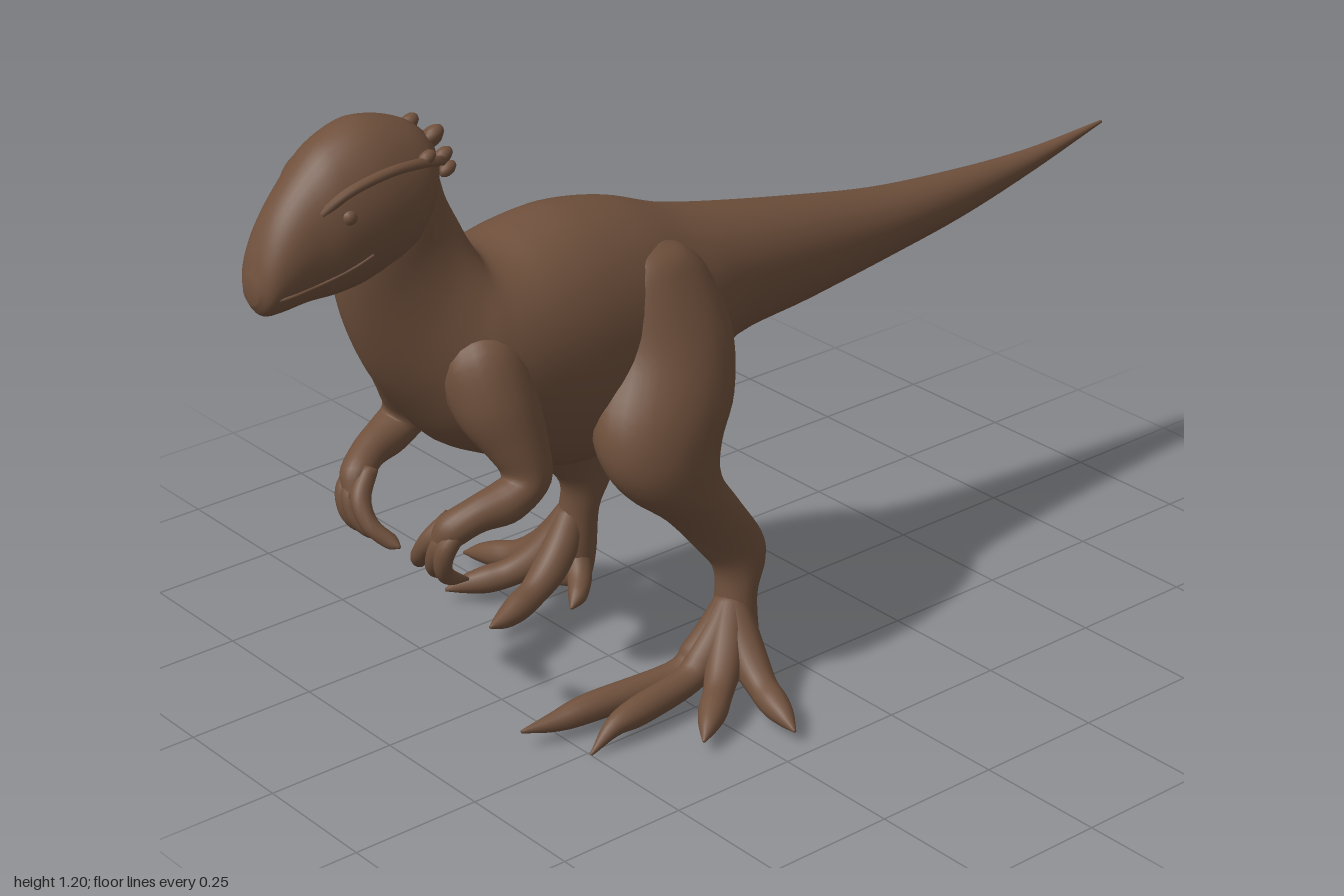
import * as THREE from 'three';

const V = (x, y, z) => new THREE.Vector3(x, y, z);

// Smooth closed skin over rings {c: centre, u: half width, v: half height}.
// egg > 0 makes the +v half wider than the -v half.
function loft(rings, { seg = 28, sub = 5, egg = 0 } = {}) {
  const curve = (k) => new THREE.CatmullRomCurve3(rings.map((r) => r[k]), false, 'catmullrom', 0.5);
  const [C, U, W] = [curve('c'), curve('u'), curve('v')];
  const n = (rings.length - 1) * sub;
  const pos = [], idx = [];
  for (let i = 0; i <= n; i++) {
    const c = C.getPoint(i / n), u = U.getPoint(i / n), v = W.getPoint(i / n);
    for (let j = 0; j < seg; j++) {
      const a = (j / seg) * Math.PI * 2, s = Math.sin(a);
      const p = c.clone().addScaledVector(u, Math.cos(a) * (1 + egg * s)).addScaledVector(v, s);
      pos.push(p.x, p.y, p.z);
      if (i < n) {
        const k = i * seg, j2 = (j + 1) % seg;
        idx.push(k + j, k + j2, k + seg + j, k + j2, k + seg + j2, k + seg + j);
      }
    }
  }
  // End caps
  for (const i of [0, n]) {
    const p = C.getPoint(i / n), m = pos.length / 3;
    pos.push(p.x, p.y, p.z);
    for (let j = 0; j < seg; j++) {
      const a = i * seg + j, b = i * seg + (j + 1) % seg;
      if (i) idx.push(m, a, b); else idx.push(m, b, a);
    }
  }
  // Turn the skin outward when its volume comes out negative
  let vol = 0;
  const at = (i) => V(pos[i * 3], pos[i * 3 + 1], pos[i * 3 + 2]);
  for (let i = 0; i < idx.length; i += 3) vol += at(idx[i]).dot(at(idx[i + 1]).cross(at(idx[i + 2])));
  if (vol < 0) idx.reverse();
  const g = new THREE.BufferGeometry();
  g.setAttribute('position', new THREE.Float32BufferAttribute(pos, 3));
  g.setIndex(idx);
  g.computeVertexNormals();
  return g;
}

// Rings in the middle plane from [topZ, topY, bottomZ, bottomY, halfWidth]
const profile = (rows) => rows.map(([zt, yt, zb, yb, w]) => ({
  c: V(0, (yt + yb) / 2, (zt + zb) / 2), u: V(w, 0, 0), v: V(0, (yt - yb) / 2, (zt - zb) / 2),
}));

// Round limb along points [x, y, z, radius]
function limb(rows, ref, opts) {
  const p = rows.map((r) => V(r[0], r[1], r[2]));
  return loft(rows.map((r, i) => {
    const t = p[Math.min(i + 1, p.length - 1)].clone().sub(p[Math.max(i - 1, 0)]).normalize();
    const u = t.clone().cross(ref).normalize();
    const v = u.clone().cross(t).normalize();
    return { c: p[i], u: u.multiplyScalar(r[3]), v: v.multiplyScalar(r[3]) };
  }), opts);
}

export function createModel() {
  const skin = new THREE.MeshStandardMaterial({ color: 0x6f503c });
  skin.name = 'brown skin';
  const model = new THREE.Group();
  model.name = 'dinosaur';
  const add = (name, geo) => {
    const m = new THREE.Mesh(geo, skin);
    m.name = name;
    m.position.x = 0.013;
    model.add(m);
    return m;
  };
  const X = V(1, 0, 0), Y = V(0, 1, 0);

  // Tail, trunk and neck
  add('body', loft(profile([
    [-1, 0.764, -1, 0.758, 0.003], [-0.8, 0.752, -0.8, 0.706, 0.022], [-0.6, 0.758, -0.6, 0.663, 0.043],
    [-0.4, 0.775, -0.4, 0.635, 0.065], [-0.2, 0.81, -0.2, 0.61, 0.088], [0, 0.85, 0, 0.59, 0.115],
    [0.12, 0.88, 0.1, 0.53, 0.145], [0.24, 0.925, 0.2, 0.485, 0.163], [0.36, 0.945, 0.32, 0.453, 0.174],
    [0.45, 0.937, 0.43, 0.47, 0.177], [0.52, 0.922, 0.54, 0.525, 0.17], [0.56, 0.927, 0.64, 0.58, 0.15],
    [0.578, 0.955, 0.71, 0.66, 0.12], [0.595, 0.995, 0.765, 0.74, 0.096], [0.615, 1.04, 0.805, 0.83, 0.083],
    [0.635, 1.1, 0.825, 0.91, 0.079], [0.68, 1.14, 0.83, 0.98, 0.07],
  ]), { seg: 40, egg: 0.08 }));

  // Domed head with a down-turned snout
  add('head', loft(profile([
    [0.63, 1.1, 0.705, 1.0, 0.045], [0.645, 1.15, 0.72, 0.96, 0.085], [0.69, 1.187, 0.745, 0.935, 0.099],
    [0.775, 1.208, 0.79, 0.922, 0.1], [0.85, 1.185, 0.85, 0.915, 0.089], [0.9, 1.143, 0.9, 0.915, 0.073],
    [0.95, 1.085, 0.95, 0.91, 0.059], [0.98, 1.03, 0.98, 0.912, 0.045], [0.998, 0.975, 0.996, 0.935, 0.02],
  ]), { seg: 36 }));

  // Lips and the ridge round the base of the dome
  const tube = (pts, r) => new THREE.TubeGeometry(
    new THREE.CatmullRomCurve3(pts.map((p) => V(...p))), 60, r, 8);
  const both = (half) => [...half.map(([x, y, z]) => [-x, y, z]).reverse(), ...half];
  add('lips', tube(both([
    [0.015, 0.945, 0.99], [0.045, 0.95, 0.965], [0.058, 0.962, 0.9], [0.078, 0.985, 0.84], [0.086, 1.0, 0.81],
  ]), 0.004));
  add('domeRidge', tube(both([
    [0.03, 1.105, 0.63], [0.075, 1.125, 0.665], [0.09, 1.137, 0.72], [0.093, 1.138, 0.78],
    [0.081, 1.118, 0.85], [0.06, 1.085, 0.89],
  ]), 0.009));

  // Knobs on the back of the skull: [x, y, z, size]
  const knob = (x, y, z, r) => {
    const m = add('skullKnob', new THREE.SphereGeometry(r, 12, 8));
    m.scale.z = 1.5;
    m.position.set(0.013 + x, y, z);
    m.rotation.x = 0.5;
  };
  knob(0, 1.135, 0.625, 0.017);
  knob(0, 1.085, 0.61, 0.014);

  for (const s of [1, -1]) {
    const side = s > 0 ? 'left' : 'right';
    const flip = (rows) => rows.map(([x, ...r]) => [x * s, ...r]);

    for (const k of [[0.035, 1.155, 0.645, 0.014], [0.06, 1.125, 0.645, 0.013], [0.03, 1.085, 0.615, 0.012],
      [0.084, 1.14, 0.695, 0.012]]) {
      knob(k[0] * s, k[1], k[2], k[3]);
    }

    // Eye
    const eye = add(side + 'Eye', new THREE.SphereGeometry(0.015, 16, 10));
    eye.position.set(0.013 + 0.078 * s, 1.075, 0.85);

    // Thigh, shin and ankle: [x, y, z, half width, half depth]; the right foot stands further out
    const out = s > 0 ? 0 : 0.022;
    add(side + 'Leg', loft(flip([
      [0.095, 0.87, 0.235, 0.015, 0.03], [0.105, 0.85, 0.23, 0.045, 0.065], [0.115, 0.8, 0.225, 0.065, 0.1],
      [0.135, 0.7, 0.222, 0.09, 0.123], [0.16, 0.6, 0.258, 0.1, 0.142], [0.18, 0.52, 0.283, 0.09, 0.122],
      [0.195, 0.45, 0.268, 0.071, 0.098], [0.2 + out / 2, 0.38, 0.205, 0.055, 0.078],
      [0.207 + out * 0.9, 0.3, 0.145, 0.04, 0.07], [0.211 + out, 0.25, 0.125, 0.037, 0.055],
      [0.217 + out, 0.19, 0.138, 0.038, 0.04], [0.225 + out, 0.1, 0.148, 0.046, 0.045],
      [0.23 + out, 0.05, 0.155, 0.045, 0.042], [0.23 + out, 0.035, 0.155, 0.02, 0.02],
    ]).map(([x, y, z, w, d]) => ({ c: V(x, y, z), u: V(w, 0, 0), v: V(0, 0, d) }))));

    // Toes flare from the ankle and are posed differently on each foot: tip [x, y, z]
    const tips = s > 0
      ? [[0.45, 0.035, 0.2], [0.372, 0.035, 0.345], [0.247, 0.012, 0.5], [0.15, 0.045, 0.58]]
      : [[0.478, 0.035, 0.235], [0.378, 0.035, 0.355], [0.19, 0.045, 0.39]];
    for (const [x, y, z] of tips) {
      const a = V(0.22 + out, 0, 0.15);
      const row = (t, h, r) => [a.x + (x - a.x) * t, h, a.z + (z - a.z) * t, r];
      // Long forward toes dip sooner, so their fall is measured against a fixed reach
      const k = Math.min(1, 0.25 / Math.hypot(x - a.x, z - a.z));
      add(side + 'Toe', limb(flip([
        row(0, 0.19, 0.028), row(0.13 * k, 0.135, 0.034), row(0.3 * k, 0.09, 0.034), row(0.5 * k, 0.062, 0.028),
        row(0.68, 0.05, 0.027), row(0.85, 0.042, 0.018), row(1, y - 0.003, 0.003),
      ]), Y, { seg: 14 }));
    }
    // Small inner toe and heel
    add(side + 'InnerToe', limb(flip([
      [0.215 + out, 0.1, 0.15, 0.03], [0.188 + out / 2, 0.068, 0.17, 0.024],
      [0.168, 0.05, 0.2, 0.018], [0.155, 0.038, 0.225, 0.003],
    ]), Y, { seg: 14 }));
    add(side + 'Heel', limb(flip([
      [0.225 + out, 0.1, 0.15, 0.035], [0.228 + out, 0.07, 0.13, 0.028], [0.228 + out, 0.055, 0.112, 0.01],
    ]), X, { seg: 14 }));

    // Arm, with its shoulder sunk into the chest
    add(side + 'Arm', limb(flip([
      [0.05, 0.82, 0.6, 0.03], [0.085, 0.76, 0.605, 0.075], [0.125, 0.68, 0.598, 0.074], [0.158, 0.61, 0.58, 0.055],
      [0.174, 0.55, 0.575, 0.044], [0.173, 0.52, 0.615, 0.039], [0.158, 0.505, 0.67, 0.032],
      [0.138, 0.48, 0.71, 0.031], [0.12, 0.445, 0.728, 0.018],
    ]), X, { seg: 20 }));

    // Three curled fingers
    for (const [x, y, z] of [[0.022, 0.383, 0.705], [0.085, 0.37, 0.672], [0.125, 0.368, 0.668]]) {
      const w = 0.14 + (x - 0.08) * 0.3;
      add(side + 'Finger', limb(flip([
        [w, 0.495, 0.695, 0.018], [w * 0.8 + x * 0.2, 0.455, 0.728, 0.019], [w * 0.5 + x * 0.5, 0.415, 0.73, 0.016],
        [w * 0.2 + x * 0.8, 0.388, 0.71, 0.014], [x, y, z, 0.003],
      ]), X, { seg: 12 }));
    }
  }
  return model;
}
